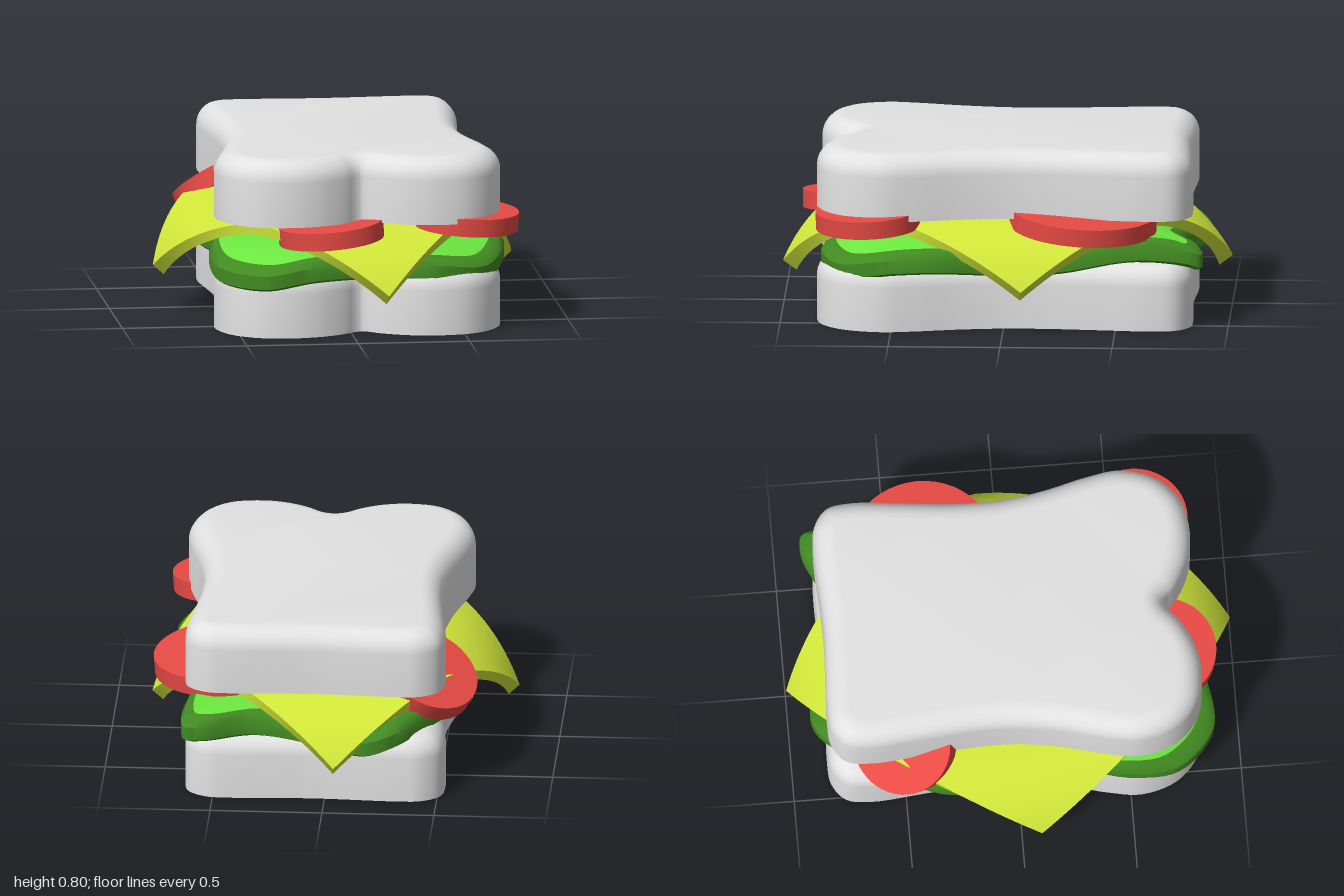
import * as THREE from 'three';
import { toCreasedNormals } from 'three/addons/utils/BufferGeometryUtils.js';

const mat = (name, color) => {
  const m = new THREE.MeshStandardMaterial({ color });
  m.name = name;
  return m;
};

// Closed smooth outline through [x, y, z] points, anticlockwise from above
const outline = (pts, n) =>
  new THREE.CatmullRomCurve3(pts.map(p => new THREE.Vector3(...p)), true, 'centripetal').getPoints(n).slice(0, n);

// Skin rings from bottom to top, with optional caps
function loft(rings, capBottom, capTop, crease = 0.7) {
  const n = rings[0].length, index = [];
  const pos = rings.flat().flatMap(p => [p.x, p.y, p.z]);
  for (let i = 0; i < rings.length - 1; i++) {
    for (let j = 0; j < n; j++) {
      const a = i * n + j, b = i * n + (j + 1) % n;
      index.push(a, b, b + n, a, b + n, a + n);
    }
  }
  const cap = (k, flip) => {
    const flat = rings[k].map(p => new THREE.Vector2(p.x, -p.z));
    for (const [a, b, c] of THREE.ShapeUtils.triangulateShape(flat, [])) {
      index.push(k * n + a, k * n + (flip ? c : b), k * n + (flip ? b : c));
    }
  };
  if (capBottom) cap(0, true);
  if (capTop) cap(rings.length - 1, false);
  const g = new THREE.BufferGeometry();
  g.setAttribute('position', new THREE.Float32BufferAttribute(pos, 3));
  g.setIndex(index);
  return toCreasedNormals(g, crease);
}

// Move an outline inward by d and set its height
function inset(ring, d, y) {
  const n = ring.length;
  return ring.map((p, i) => {
    const a = ring[(i + n - 1) % n], b = ring[(i + 1) % n];
    const tx = b.x - a.x, tz = b.z - a.z, l = Math.hypot(tx, tz);
    return new THREE.Vector3(p.x + d * tz / l, y, p.z - d * tx / l);
  });
}

// Bread slice: straight wall, rounded upper edge
function breadGeometry() {
  const half = [
    [0.03, 0.712], [0.07, 0.748], [0.13, 0.787], [0.21, 0.822], [0.33, 0.84], [0.48, 0.81], [0.59, 0.71],
    [0.64, 0.55], [0.62, 0.4], [0.57, 0.2], [0.54, 0], [0.54, -0.2], [0.56, -0.42], [0.58, -0.66],
    [0.56, -0.77], [0.48, -0.83], [0.38, -0.84]
  ];
  const pts = [
    [0, 0.7], ...half, [0, -0.825], ...half.map(([x, z]) => [-x, z]).reverse()
  ].map(([x, z]) => [x + 0.05, 0, z]);
  const base = outline(pts, 180), r = 0.1, rings = [base];
  for (let i = 0; i <= 7; i++) {
    const a = i / 7 * Math.PI / 2;
    rings.push(inset(base, r * (1 - Math.cos(a)), 0.3 - r + r * Math.sin(a)));
  }
  return loft(rings, true, true);
}

// Cheese: a square sheet whose four corners droop and curl inward
function cheeseGeometry() {
  const g = new THREE.BoxGeometry(2, 1, 2, 32, 1, 32), p = g.attributes.position;
  const droop = a => Math.max(0, (Math.abs(a) - 0.38) / 0.62) ** 2;
  const curl = a => a * (1.23 - 0.23 * a * a);
  for (let i = 0; i < p.count; i++) {
    const u = p.getX(i), v = p.getZ(i), under = p.getY(i) < 0 ? 1 : 0;
    const s = (u + v) / 2, t = (u - v) / 2;
    const f = droop(s) + droop(t), k = 1 - under * 0.06 * f;
    const cs = k * curl(s), ct = k * curl(t);
    p.setXYZ(i, 0.815 * ct + 0.095 * cs + 0.045 * s * s, 0.5 - 0.29 * f - 0.045 * under, cs - 0.085 * ct);
  }
  return toCreasedNormals(g, 0.7);
}

export function createModel() {
  const group = new THREE.Group();
  const bread = mat('breadGrey', 0xe2e2e2);
  const cheese = mat('cheeseYellow', 0xd2e83a);
  const tomato = mat('tomatoRed', 0xee4c46);
  const leaf = mat('leafGreen', 0x6ce840);
  const leafEdge = mat('leafEdgeGreen', 0x428a22);
  const add = (name, geometry, material) => {
    const m = new THREE.Mesh(geometry, material);
    m.name = name;
    group.add(m);
    return m;
  };

  // Two slices of bread
  const slice = breadGeometry();
  add('bottomBread', slice, bread);
  add('topBread', slice, bread).position.y = 0.5;

  // Wavy lettuce leaf: dark overhanging rim around a light body
  const edge = outline([
    [0.12, 0.25, 0.79], [0.4, 0.24, 0.82], [0.6, 0.22, 0.73], [0.71, 0.26, 0.48], [0.725, 0.27, 0.28],
    [0.65, 0.25, 0], [0.6, 0.25, -0.25], [0.62, 0.31, -0.58], [0.64, 0.3, -0.82], [0.625, 0.28, -0.88],
    [0.54, 0.28, -0.885], [0.32, 0.28, -0.8], [0, 0.24, -0.83], [-0.18, 0.23, -0.905], [-0.31, 0.26, -0.87],
    [-0.48, 0.28, -0.62], [-0.63, 0.285, -0.33], [-0.59, 0.27, 0], [-0.56, 0.28, 0.25], [-0.61, 0.27, 0.5],
    [-0.58, 0.23, 0.72], [-0.4, 0.22, 0.885], [-0.18, 0.25, 0.87]
  ], 130);
  const ring = (s, dy, blend = 0, level = 0) =>
    edge.map(p => new THREE.Vector3(p.x * s, (p.y + dy) * (1 - blend) + level * blend, p.z * s));
  add('lettuceRim', loft([
    ring(0.94, 0.065), ring(0.98, 0), ring(1, 0.01), ring(1, 0.07), ring(0.97, 0.1), ring(0.92, 0.11)
  ]), leafEdge);
  add('lettuceTop', loft([ring(0.92, 0.11), ring(0.8, 0.13, 0.5, 0.41), ring(0.45, 0.12, 1, 0.42)], false, true), leaf);
  add('lettuceUnderside', loft([ring(0.45, 0, 1, 0.31), ring(0.93, 0.005), ring(0.94, 0.065)], true, false), leaf);

  add('cheeseSlice', cheeseGeometry(), cheese);

  // Tomato slices: x, y, z, radius, tilt about x, tilt about z
  [
    [0.46, 0.48, -0.35, 0.33, -0.06, -0.08],
    [0.53, 0.49, 0.605, 0.235, 0.04, -0.06],
    [-0.085, 0.455, 0.685, 0.235, 0.02, 0.09],
    [-0.435, 0.48, -0.5, 0.23, -0.42, 0.42]
  ].forEach(([x, y, z, r, rx, rz]) => {
    const disc = toCreasedNormals(new THREE.CylinderGeometry(r, r, 0.08, 48), 0.7);
    const m = add('tomatoSlice', disc, tomato);
    m.position.set(x, y, z);
    m.rotation.set(rx, 0, rz);
  });

  return group;
}
